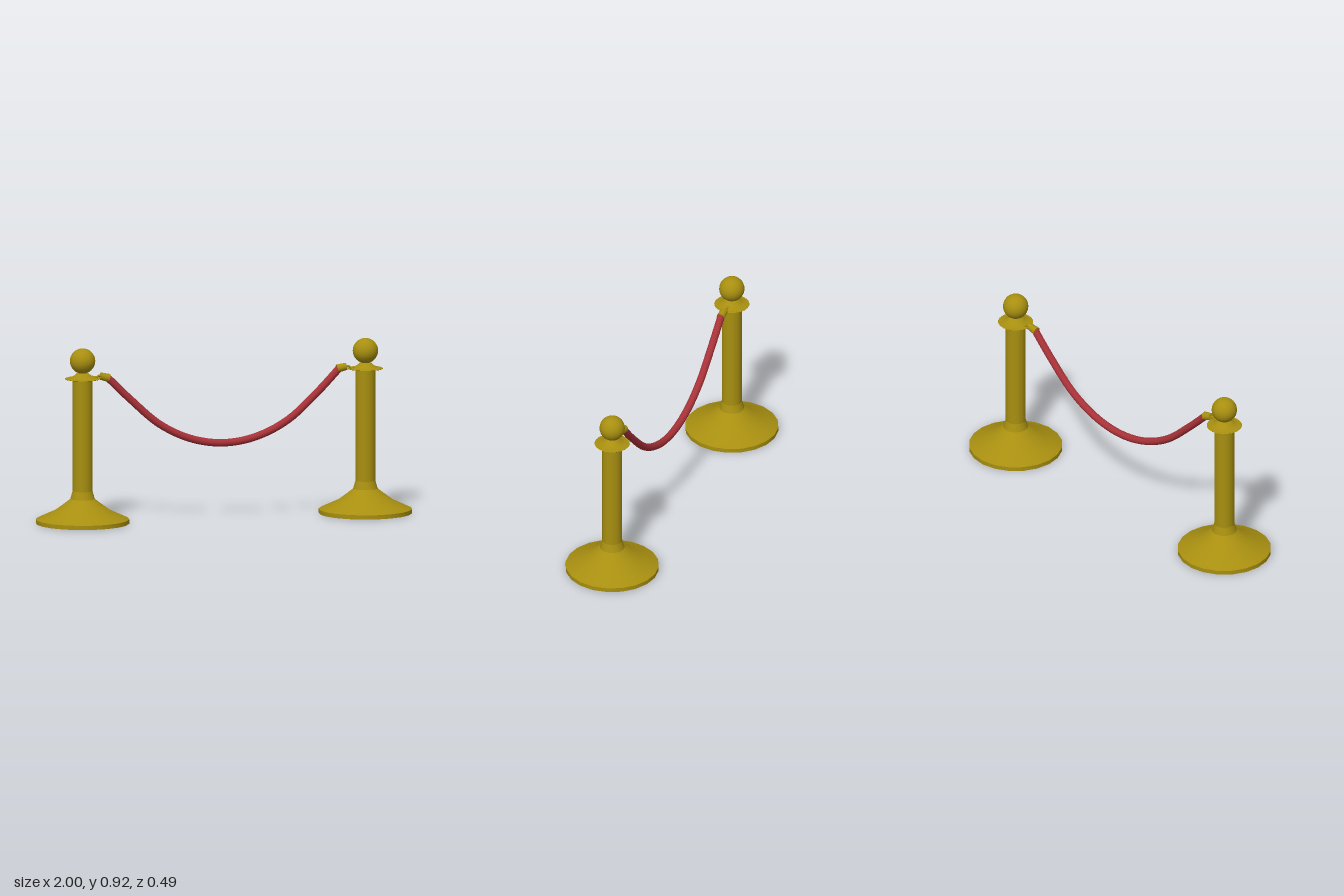
import * as THREE from 'three';
import { toCreasedNormals } from 'three/addons/utils/BufferGeometryUtils.js';

const SIDES = 20;
const POST_X = 0.757;

const brass = new THREE.MeshStandardMaterial({ color: 0xa88f10 });
const velvet = new THREE.MeshStandardMaterial({ color: 0xa83238 });

function add(parent, name, geometry, material) {
  const mesh = new THREE.Mesh(geometry, material);
  mesh.name = name;
  parent.add(mesh);
  return mesh;
}

function turned(profile) {
  const points = profile.map(([r, y]) => new THREE.Vector2(r, y));
  return toCreasedNormals(new THREE.LatheGeometry(points, SIDES), 0.6);
}

function tube(points, radius, segments, sides) {
  const curve = new THREE.CatmullRomCurve3(points.map(([x, y]) => new THREE.Vector3(x, y, 0)));
  return new THREE.TubeGeometry(curve, segments, radius, sides);
}

function createPost(name) {
  const post = new THREE.Group();
  post.name = name;

  // Flared base, running up into the shaft
  add(post, 'base', turned([
    [0, 0], [0.243, 0], [0.243, 0.022], [0.147, 0.066], [0.1, 0.1], [0.064, 0.128], [0.052, 0.17],
  ]), brass);
  add(post, 'shaft', new THREE.CylinderGeometry(0.052, 0.052, 0.587, SIDES, 1, true), brass)
    .position.y = 0.4635;

  // Thin collar with a cone rising to the ball
  add(post, 'collar', turned([
    [0, 0.754], [0.09, 0.756], [0.092, 0.758], [0.09, 0.76], [0.067, 0.762], [0.048, 0.772], [0.03, 0.787], [0, 0.793],
  ]), brass);
  add(post, 'ball', new THREE.SphereGeometry(0.066, 24, 16), brass).position.y = 0.851;
  return post;
}

// Ferrule on the rope end plus the small hook that reaches the collar
function createClip(name, side, inner, outer) {
  const clip = new THREE.Group();
  clip.name = name;
  const a = new THREE.Vector3(side * inner[0], inner[1], 0);
  const b = new THREE.Vector3(side * outer[0], outer[1], 0);
  const direction = b.clone().sub(a);

  const ferrule = add(clip, 'ferrule',
    new THREE.CylinderGeometry(0.019, 0.022, direction.length(), 14), brass);
  ferrule.position.copy(a).add(b).multiplyScalar(0.5);
  ferrule.quaternion.setFromUnitVectors(new THREE.Vector3(0, 1, 0), direction.normalize());

  add(clip, 'hook', tube([
    [b.x - side * 0.006, b.y], [b.x + side * 0.012, b.y + 0.001],
    [side * 0.679, 0.763], [side * 0.695, 0.765], [side * 0.71, 0.767],
  ], 0.006, 16, 8), brass);
  return clip;
}

export function createModel() {
  const model = new THREE.Group();
  model.name = 'ropeBarrier';

  for (const [name, side] of [['leftPost', 1], ['rightPost', -1]]) {
    const post = createPost(name);
    post.position.x = side * POST_X;
    model.add(post);
  }

  // Sagging rope
  add(model, 'rope', tube([
    [-0.625, 0.762], [-0.5, 0.64], [-0.34, 0.502], [-0.17, 0.421], [0, 0.395],
    [0.17, 0.421], [0.34, 0.502], [0.5, 0.643], [0.615, 0.762],
  ], 0.0195, 48, 14), velvet);

  model.add(createClip('leftClip', 1, [0.605, 0.762], [0.655, 0.772]));
  model.add(createClip('rightClip', -1, [0.615, 0.757], [0.662, 0.769]));
  return model;
}
